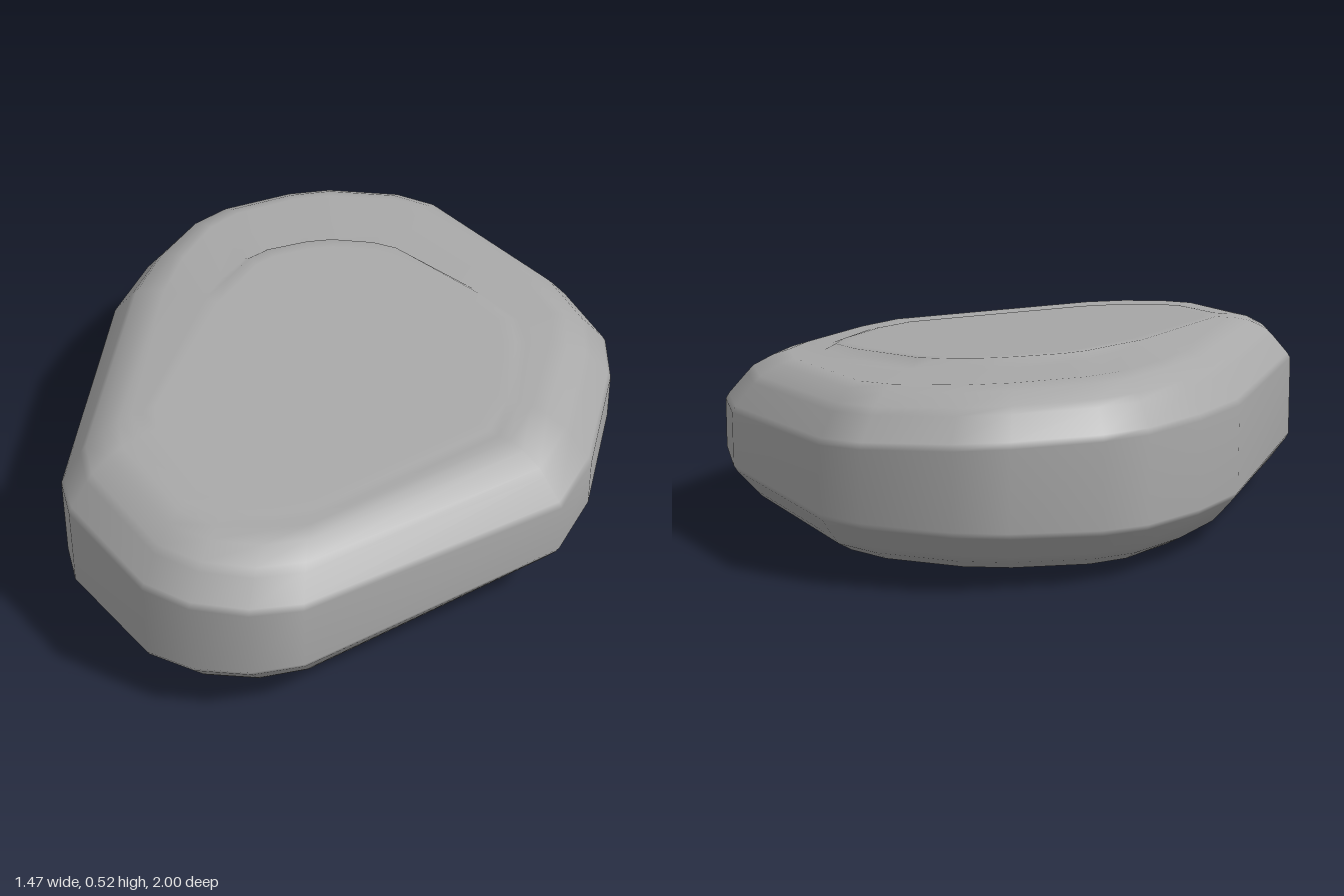
import * as THREE from 'three';
import { mergeVertices } from 'three/addons/utils/BufferGeometryUtils.js';

const MID = 0.2625; // height of the mirror plane between upper and lower half
const CENTRE = [-0.03, 0];

// Plan outline (x, z), clockwise seen from above, starting at the back
const OUTLINE = [
  [0, -1], [0.13, -0.965], [0.57, -0.6], [0.7, -0.4], [0.73, -0.22], [0.71, 0.19], [0.65, 0.4],
  [0.06, 0.94], [-0.07, 0.99], [-0.22, 0.995], [-0.35, 0.95], [-0.61, 0.7], [-0.665, 0.58],
  [-0.735, -0.23], [-0.7, -0.46], [-0.63, -0.67], [-0.55, -0.78], [-0.36, -0.92], [-0.23, -0.975],
];

// Half thickness of the wall, bevel, shoulder and tilted plateau
const wall = (x) => 0.092 - 0.034 * x;
const bevel = (x) => 0.184 - 0.035 * x;
const shoulder = (x) => 0.224 - 0.037 * x;
const plateau = (x, z) => 0.234 - 0.053 * x - 0.02 * z;

// Upper cross-section at one outline point, from the centre out to the rim
function section([px, pz]) {
  const dx = px - CENTRE[0], dz = pz - CENTRE[1];
  const r = Math.hypot(dx, dz);
  const back = Math.max(0, -dz / r);
  const right = Math.max(0, dx / r);
  const edge = 0.25 + 0.22 * back * (1 - 0.5 * right);
  const at = (inset, height) => {
    const k = Math.max(0, 1 - inset / r);
    const x = CENTRE[0] + dx * k, z = CENTRE[1] + dz * k;
    return [x, height(x, z), z];
  };
  return [
    at(r, plateau),
    at(edge + 0.04, plateau),
    at(edge, plateau),
    at(edge - 0.03, (x, z) => plateau(x, z) - 0.004 - 0.022 * back),
    at(0.18, shoulder),
    at(0.135, (x) => shoulder(x) - 0.012),
    at(0.08, bevel),
    at(0.062, (x) => bevel(x) - 0.018),
    at(0.01, (x) => wall(x) + 0.016),
    at(0, wall),
  ];
}

function pebbleGeometry() {
  const sections = OUTLINE.map((p) => {
    const upper = section(p);
    const lower = upper.map(([x, y, z]) => [x, -y, z]).reverse();
    return [...upper, ...lower];
  });
  const n = sections.length, rings = sections[0].length;
  const positions = [], indices = [];
  for (let i = 0; i < rings; i++) {
    for (let j = 0; j < n; j++) {
      const [x, y, z] = sections[j][i];
      positions.push(x, y + MID, z);
    }
  }
  for (let i = 0; i < rings - 1; i++) {
    for (let j = 0; j < n; j++) {
      const a = i * n + j, b = i * n + (j + 1) % n;
      const c = a + n, d = b + n;
      if (i > 0) indices.push(a, b, d);
      if (i < rings - 2) indices.push(a, d, c);
      else indices.push();
      if (i === 0) continue;
    }
  }
  const geometry = new THREE.BufferGeometry();
  geometry.setAttribute('position', new THREE.Float32BufferAttribute(positions, 3));
  geometry.setIndex(indices);
  const welded = mergeVertices(geometry, 1e-4);
  welded.computeVertexNormals();
  return welded;
}

export function createModel() {
  const group = new THREE.Group();
  group.name = 'flatStone';
  const stoneGrey = new THREE.MeshStandardMaterial({ color: 0xa8a8a8 });
  stoneGrey.name = 'stoneGrey';
  const stone = new THREE.Mesh(pebbleGeometry(), stoneGrey);
  stone.name = 'stone';
  group.add(stone);
  return group;
}
